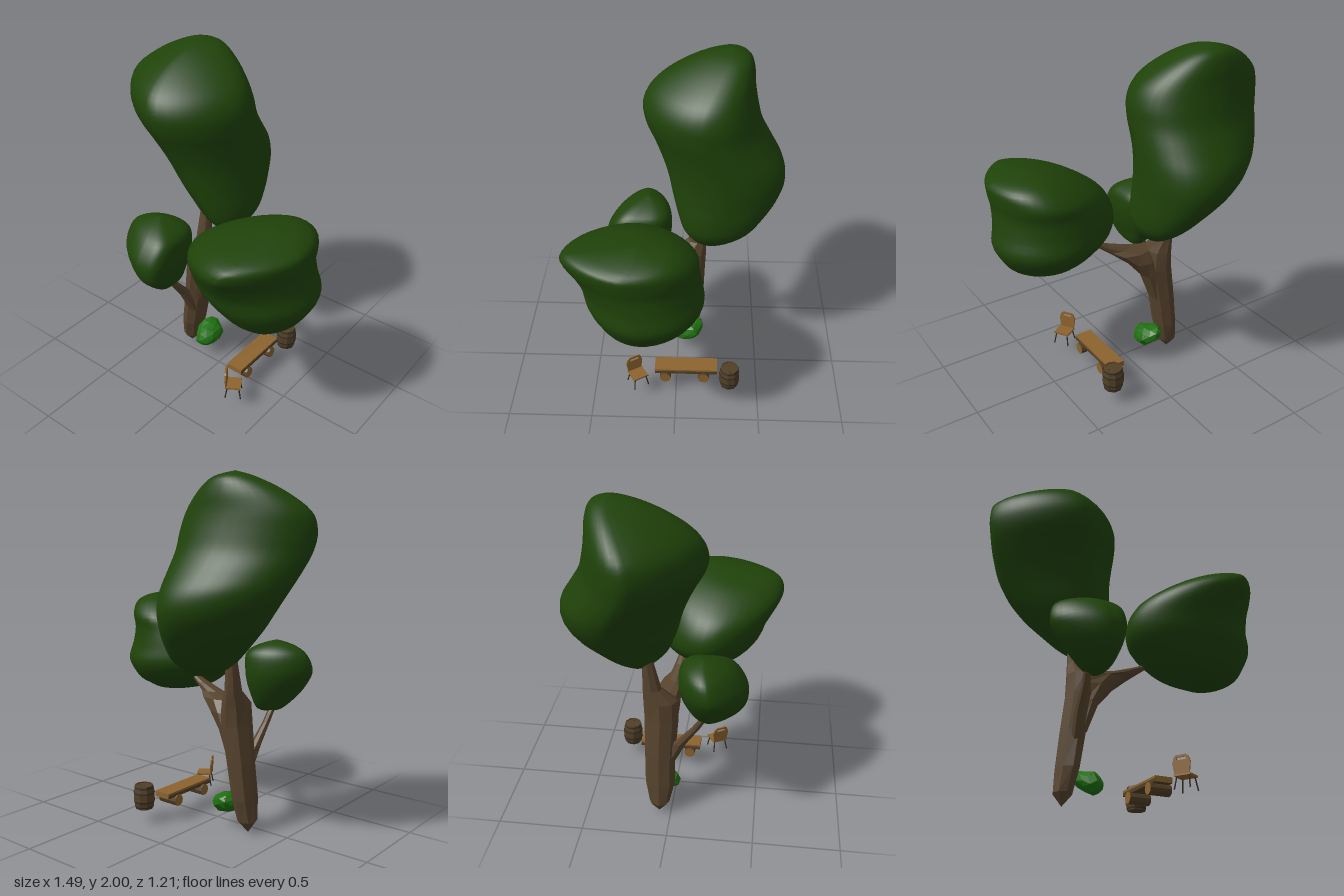
import * as THREE from 'three';
import { mergeVertices } from 'three/addons/utils/BufferGeometryUtils.js';

const mat = (name, color) => Object.assign(new THREE.MeshStandardMaterial({ color }), { name });

// Smooth interpolation through the profile rows
function sampleRows(rows, steps) {
  const at = i => rows[Math.max(0, Math.min(rows.length - 1, i))];
  const out = [];
  for (let i = 0; i < rows.length - 1; i++) {
    for (let s = 0; s < steps; s++) {
      const t = s / steps;
      out.push(rows[0].map((_, k) => {
        const a = at(i - 1)[k], b = at(i)[k], c = at(i + 1)[k], d = at(i + 2)[k];
        return b + 0.5 * t * (c - a + t * (2 * a - 5 * b + 4 * c - d + t * (3 * (b - c) + d - a)));
      }));
    }
  }
  out.push(rows[rows.length - 1]);
  return out;
}

// Loft of horizontal rings, each row [y, xMin, xMax, zMin, zMax];
// skew(t) gives where the widest lines cross, as fractions of the ring's box;
// powers(t) shape the quadrants +x+z, -x+z, -x-z, +x-z (below 1 fuller, above 1 flatter)
function loft(rows, sides, skew = () => [0.5, 0.5], powers = () => [1, 1, 1, 1]) {
  const pos = [], index = [];
  const y0 = rows[0][0], y1 = rows[rows.length - 1][0];
  rows.forEach(([y, xa, xb, za, zb], i) => {
    const t = (y - y0) / (y1 - y0);
    const [u, v] = skew(t), quadrants = powers(t);
    const cx = xa + (xb - xa) * u, cz = za + (zb - za) * v;
    for (let j = 0; j < sides; j++) {
      const a = (j / sides) * Math.PI * 2;
      const power = quadrants[Math.floor((4 * j) / sides)];
      const bend = n => Math.sign(n) * Math.abs(n) ** power;
      const c = bend(Math.cos(a)), s = bend(Math.sin(a));
      pos.push(cx + c * (c > 0 ? xb - cx : cx - xa), y, cz + s * (s > 0 ? zb - cz : cz - za));
      if (i < rows.length - 1) {
        const p = i * sides + j, q = i * sides + (j + 1) % sides;
        index.push(p, p + sides, q, q, p + sides, q + sides);
      }
    }
  });
  const g = new THREE.BufferGeometry();
  g.setAttribute('position', new THREE.Float32BufferAttribute(pos, 3));
  g.setIndex(index);
  return g;
}

// Flat shading that keeps any material groups
function flat(g) {
  const f = g.index ? g.toNonIndexed() : g;
  f.groups = g.groups.map(r => ({ ...r }));
  f.computeVertexNormals();
  return f;
}

export function createModel() {
  const leaf = mat('leaf green', 0x1f4209);
  const bushGreen = mat('bush green', 0x1e7010);
  const berryRed = mat('berry red', 0x8a3a1c);
  const bark = mat('bark brown', 0x56432d);
  const wood = mat('plank wood', 0x8c632e);
  const darkWood = mat('dark wood', 0x524026);
  const iron = mat('dark iron', 0x2f2a26);

  const model = new THREE.Group();
  const add = (name, geo, material, x = 0, y = 0, z = 0, parent = model) => {
    const m = new THREE.Mesh(geo, material);
    m.name = name;
    m.position.set(x, y, z);
    parent.add(m);
    return m;
  };

  // Foliage
  const crown = (name, rows, skew, powers) => {
    const g = mergeVertices(loft(sampleRows(rows, 4), 36, skew, powers));
    g.computeVertexNormals();
    add(name, g, leaf);
  };
  crown('largeCrown', [
    [0.9, -0.07, -0.07, -0.2, -0.2], [0.92, -0.16, -0.01, -0.28, -0.12],
    [1.0, -0.29, 0.045, -0.41, -0.04], [1.1, -0.4, 0.055, -0.5, 0.0],
    [1.2, -0.5, 0.05, -0.57, 0.03], [1.3, -0.58, 0.05, -0.605, 0.055],
    [1.4, -0.645, 0.05, -0.59, 0.09], [1.5, -0.695, 0.05, -0.53, 0.135],
    [1.6, -0.73, 0.05, -0.47, 0.185], [1.7, -0.745, 0.045, -0.44, 0.2],
    [1.8, -0.72, 0.0, -0.42, 0.15], [1.9, -0.6, -0.11, -0.41, 0.01],
    [1.97, -0.46, -0.23, -0.38, -0.15], [2.0, -0.35, -0.35, -0.29, -0.29]
  ], t => [0.7 - 0.2 * t, 0.56 - 0.18 * t], t => [1.05 + 0.25 * t, 1.3 + 0.1 * t, 1.15, 0.9]);
  crown('rightCrown', [
    [0.69, 0.48, 0.48, 0.2, 0.2], [0.71, 0.36, 0.58, 0.07, 0.31],
    [0.75, 0.22, 0.65, -0.02, 0.37], [0.8, 0.13, 0.69, -0.1, 0.42],
    [0.9, 0.02, 0.74, -0.16, 0.48], [1.0, -0.005, 0.722, -0.145, 0.51],
    [1.1, 0.035, 0.71, -0.13, 0.565], [1.18, 0.13, 0.717, -0.125, 0.6],
    [1.25, 0.26, 0.712, -0.06, 0.55], [1.29, 0.4, 0.63, 0.03, 0.35],
    [1.31, 0.51, 0.51, 0.19, 0.19]
  ], t => [0.6 - 0.08 * t, 0.5], t => [1 + 0.4 * t, 1.1, 1.12, 1.08 - 0.2 * t]);
  crown('smallCrown', [
    [0.65, -0.23, -0.23, 0.2, 0.2], [0.67, -0.3, -0.165, 0.13, 0.3],
    [0.75, -0.385, -0.135, 0.08, 0.4], [0.83, -0.45, -0.115, 0.05, 0.43],
    [0.91, -0.49, -0.105, 0.04, 0.42], [1.0, -0.47, -0.115, 0.05, 0.36],
    [1.05, -0.4, -0.19, 0.1, 0.28], [1.08, -0.29, -0.29, 0.18, 0.18]
  ], () => [0.64, 0.5], () => [0.55, 1.3, 1.15, 0.75]);

  // Trunk and branches
  const limb = (name, rows) => add(name, flat(loft(rows, 8)), bark);
  limb('trunk', [
    [0, -0.28, -0.28, -0.07, -0.07], [0.07, -0.33, -0.22, -0.13, -0.01],
    [0.2, -0.32, -0.19, -0.155, 0.02], [0.4, -0.3, -0.155, -0.16, 0.02],
    [0.62, -0.275, -0.11, -0.165, 0.035], [0.74, -0.265, -0.12, -0.17, 0.03],
    [0.82, -0.25, -0.16, -0.17, -0.06], [1.02, -0.24, -0.18, -0.17, -0.11]
  ]);
  limb('rightBranch', [
    [0.4, -0.24, -0.155, -0.13, 0.0], [0.58, -0.22, -0.085, -0.14, 0.025],
    [0.68, -0.21, 0.0, -0.13, 0.035], [0.745, -0.18, 0.08, -0.1, 0.035],
    [0.77, -0.04, 0.115, -0.045, 0.04], [0.81, 0.09, 0.17, -0.02, 0.045],
    [0.85, 0.18, 0.22, 0, 0.04]
  ]);
  limb('frontBranch', [
    [0.32, -0.26, -0.18, -0.06, 0.01], [0.48, -0.27, -0.21, 0.01, 0.085],
    [0.6, -0.27, -0.23, 0.115, 0.165], [0.7, -0.28, -0.24, 0.18, 0.22]
  ]);

  // Bush with berries; its top leans back and toward the trunk
  const bush = new THREE.Group();
  bush.name = 'bush';
  bush.position.set(-0.128, 0.142, -0.06);
  model.add(bush);
  const onBush = (x, y, z) => {
    const k = 1 + 0.09 * Math.sin(4 * x - 2 * y + 3 * z);
    return [k * (0.077 * x - 0.016 * y), k * (0.067 * y - 0.012 * z), k * (0.1 * z - 0.016 * y)];
  };
  const bushGeo = new THREE.IcosahedronGeometry(1, 1);
  const p = bushGeo.attributes.position;
  for (let i = 0; i < p.count; i++) p.setXYZ(i, ...onBush(p.getX(i), p.getY(i), p.getZ(i)));
  add('bushLeaves', flat(bushGeo), bushGreen, 0, 0, 0, bush);
  for (let i = 0; i < 9; i++) {
    const a = i * 2.4, h = -0.3 + i * 0.13, r = Math.sqrt(1 - h * h);
    add('berry', new THREE.IcosahedronGeometry(0.005, 0), berryRed,
      ...onBush(0.95 * r * Math.cos(a), 0.95 * h, 0.95 * r * Math.sin(a)), bush);
  }

  // Split-log table top with bark on its sides, on two logs
  add('tablePlank', new THREE.BoxGeometry(0.105, 0.012, 0.38), wood, 0.218, 0.165, -0.06);
  add('plankBark', new THREE.BoxGeometry(0.105, 0.02, 0.38), [darkWood, darkWood, wood, darkWood, wood, wood], 0.218, 0.149, -0.06);
  for (const z of [0.065, -0.17]) {
    const log = new THREE.CylinderGeometry(0.034, 0.034, 0.13, 10).rotateZ(Math.PI / 2);
    add('tableLog', flat(log), [darkWood, wood, wood], 0.22, 0.115, z);
  }

  // Barrel
  const barrel = new THREE.Group();
  barrel.name = 'barrel';
  barrel.position.set(0.29, 0.085, -0.325);
  model.add(barrel);
  const turned = pts => flat(new THREE.LatheGeometry(pts.map(([r, y]) => new THREE.Vector2(r, y)), 9));
  add('staves', turned([[0, 0], [0.053, 0], [0.062, 0.045], [0.062, 0.095], [0.053, 0.14], [0.047, 0.14], [0.047, 0.134], [0, 0.134]]),
    darkWood, 0, 0, 0, barrel);
  for (const [y, a, b] of [[0.008, 0.0555, 0.057], [0.04, 0.062, 0.0635], [0.092, 0.0635, 0.062], [0.124, 0.057, 0.0555]]) {
    add('hoop', turned([[a - 0.004, y], [a, y], [b, y + 0.008], [b - 0.004, y + 0.008]]), iron, 0, 0, 0, barrel);
  }
  add('bung', new THREE.CylinderGeometry(0.007, 0.007, 0.008, 6), darkWood, 0.032, 0.137, 0, barrel);

  // Chair, turned toward the table
  const chair = new THREE.Group();
  chair.name = 'chair';
  chair.position.set(0.292, 0, 0.232);
  chair.rotation.y = Math.PI * 0.675;
  model.add(chair);
  add('seat', new THREE.BoxGeometry(0.096, 0.01, 0.09), wood, 0, 0.156, 0, chair);
  const back = new THREE.Shape([[-0.044, 0], [0.044, 0], [0.053, 0.06], [0.042, 0.09], [0.03, 0.1], [-0.03, 0.1], [-0.042, 0.09], [-0.053, 0.06]]
    .map(([x, y]) => new THREE.Vector2(x, y)));
  back.holes.push(new THREE.Path([[-0.03, 0.073], [-0.024, 0.087], [0.024, 0.087], [0.03, 0.073]]
    .map(([x, y]) => new THREE.Vector2(x, y))));
  const backRest = add('backRest', new THREE.ExtrudeGeometry(back, { depth: 0.008, bevelEnabled: false }), wood, 0, 0.16, -0.045, chair);
  backRest.rotation.x = -0.06;
  for (const sx of [-1, 1]) for (const sz of [-1, 1]) {
    const path = new THREE.LineCurve3(new THREE.Vector3(sx * 0.036, 0.151, sz * 0.034), new THREE.Vector3(sx * 0.047, 0.08, sz * 0.046));
    add('chairLeg', new THREE.TubeGeometry(path, 1, 0.004, 5), iron, 0, 0, 0, chair);
  }
  return model;
}
